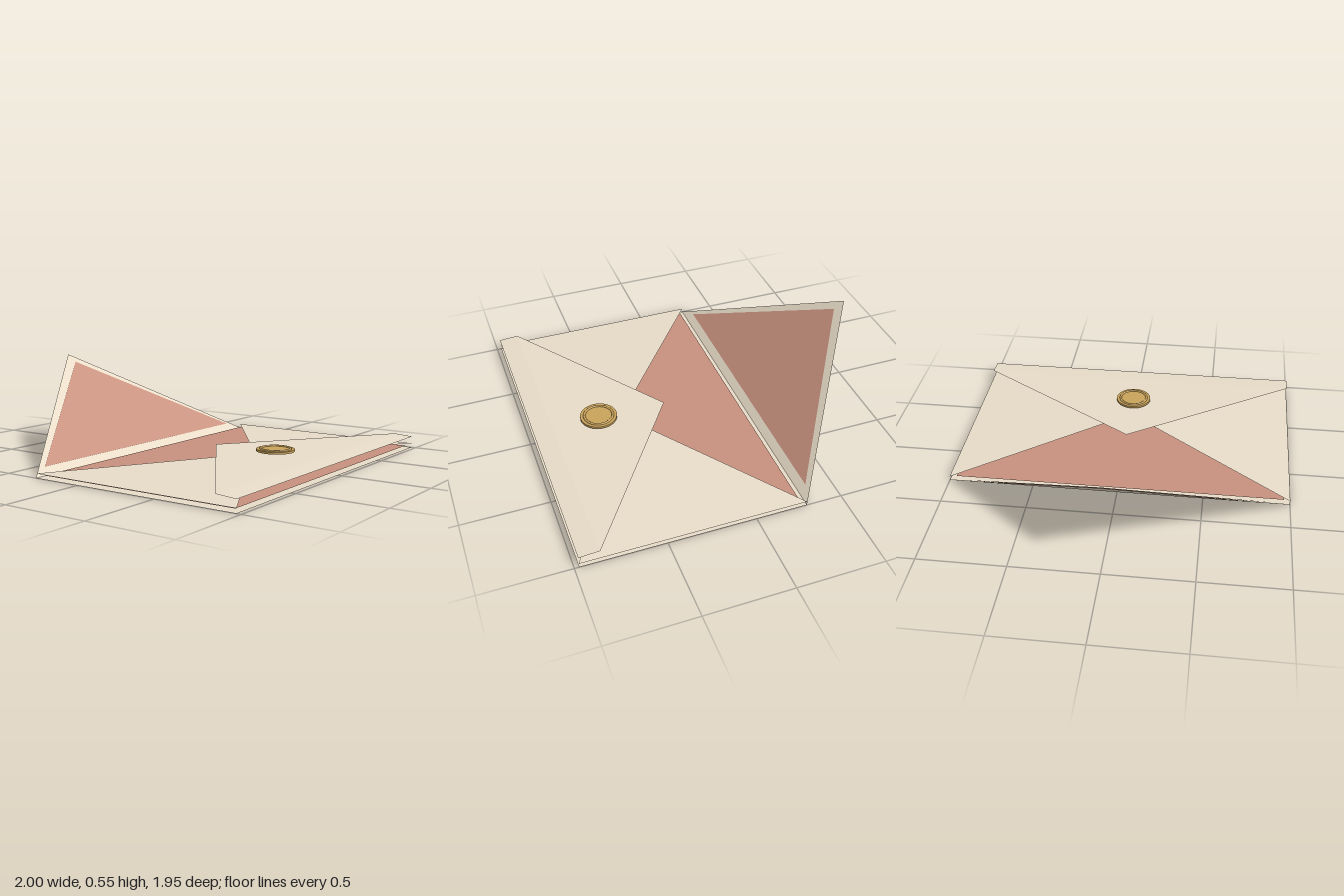
import * as THREE from 'three';

const material = (color) => new THREE.MeshStandardMaterial({ color, side: THREE.DoubleSide });

// Thin flat or folded sheet: strips between successive rows of the same length
function sheet(name, rows, mat) {
  const n = rows[0].length;
  const index = [];
  for (let r = 0; r < rows.length - 1; r++) {
    for (let i = 0; i < n - 1; i++) {
      const a = r * n + i, b = a + n;
      index.push(a, a + 1, b, a + 1, b + 1, b);
    }
  }
  const g = new THREE.BufferGeometry();
  g.setAttribute('position', new THREE.Float32BufferAttribute(rows.flat(2), 3));
  g.setIndex(index);
  const flat = g.toNonIndexed();
  flat.computeVertexNormals();
  const mesh = new THREE.Mesh(flat, mat);
  mesh.name = name;
  return mesh;
}

// Row of points across the width at one height and depth
const across = (halfWidth, y, z) => [[-halfWidth, y, z], [halfWidth, y, z]];

// Triangle from three corners
function triangle(name, corners, mat) {
  const g = new THREE.BufferGeometry();
  g.setAttribute('position', new THREE.Float32BufferAttribute(corners.flat(), 3));
  g.computeVertexNormals();
  const mesh = new THREE.Mesh(g, mat);
  mesh.name = name;
  return mesh;
}

export function createModel() {
  const model = new THREE.Group();
  model.name = 'envelope';
  const paper = material(0xe8dcc8);
  const lining = material(0xc8917f);
  const gold = material(0xc9a35a);
  const back = -0.295, front = 0.975;

  // Bottom sheet and its lining
  model.add(
    sheet('backPanel', [across(1, 0, front), across(1, 0, back)], paper),
    sheet('bodyLining', [across(0.965, 0.012, 0.945), across(0.965, 0.012, -0.268)], lining),
  );

  // Side flaps folded in to meet at the middle
  for (const s of [-1, 1]) {
    const near = [s, 0.025, front], far = [s, 0.025, back], tip = [0, 0.06, 0.45];
    model.add(triangle(s > 0 ? 'leftFlap' : 'rightFlap',
      s > 0 ? [near, far, tip] : [far, near, tip], paper));
  }

  // Front flap: creased strip that runs into a pointed fold
  model.add(
    sheet('frontFlapStrip', [across(1, 0.068, front), across(1, 0.076, 0.86)], paper),
    triangle('frontFlapPoint', [...across(1, 0.076, 0.86), [0, 0.084, 0.18]], paper),
  );

  // Open top flap with a lining just above it
  model.add(
    triangle('topFlap', [...across(1, 0, back), [0, 0.55, -0.978]], paper),
    triangle('topFlapLining', [...across(0.89, 0.039, -0.335), [0, 0.506, -0.915]], lining),
  );

  // Round seal with a raised ring
  const seal = new THREE.Group();
  seal.name = 'seal';
  const disc = new THREE.Mesh(new THREE.CylinderGeometry(0.108, 0.108, 0.013, 48), gold);
  disc.name = 'sealDisc';
  const ring = new THREE.Mesh(new THREE.TorusGeometry(0.084, 0.007, 10, 48), gold);
  ring.name = 'sealRing';
  ring.rotation.x = Math.PI / 2;
  ring.position.y = 0.007;
  seal.add(disc, ring);
  seal.position.set(0, 0.096, 0.585);
  model.add(seal);

  return model;
}
